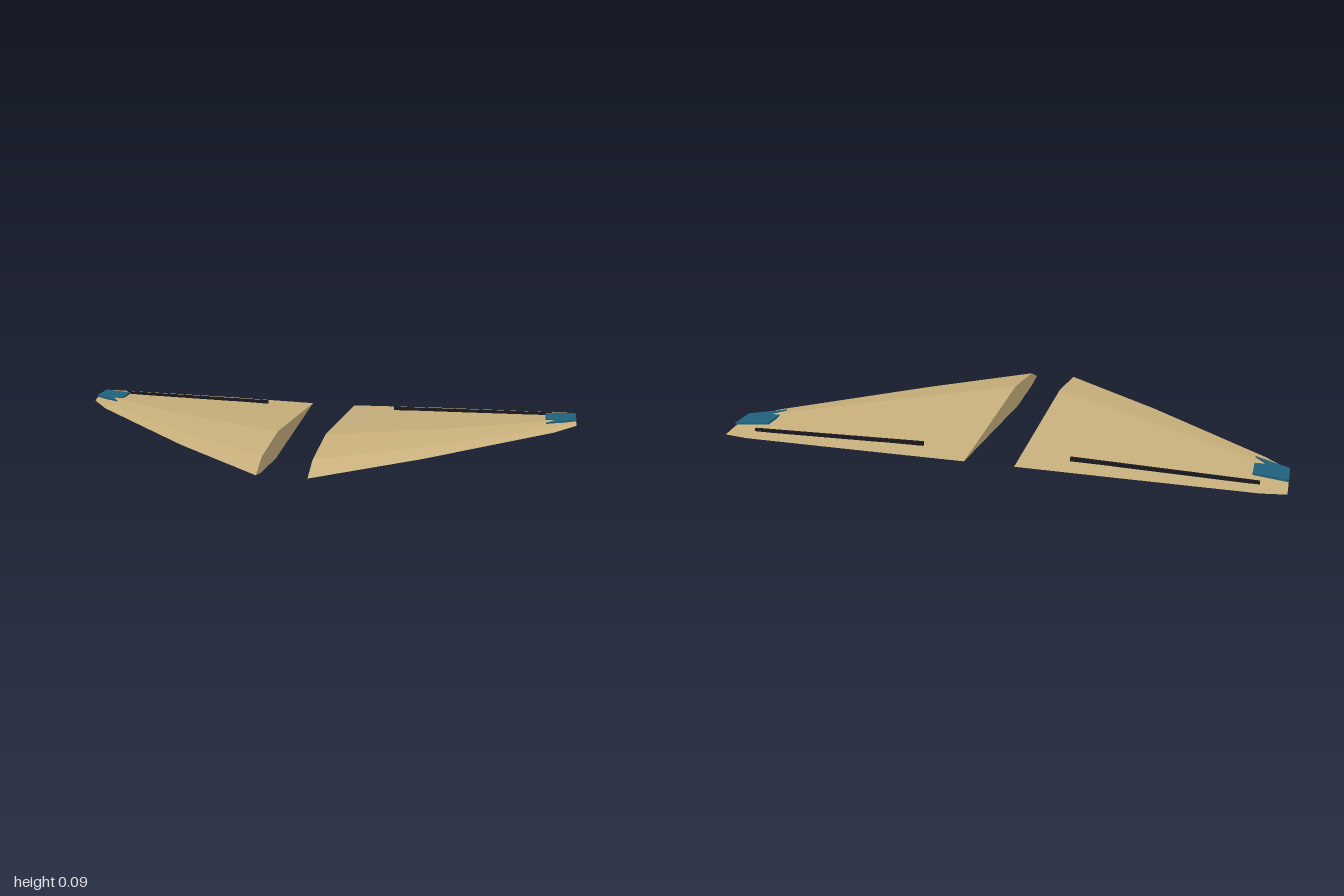
import * as THREE from 'three';

// Wing stations: x, leading z, trailing z, then heights of leading edge, crest, belly, trailing edge
const STATIONS = [
  [0.09, 0.5, -0.49, 0.03, 0.093, 0.0, 0.035],
  [0.45, 0.22, -0.503, 0.036, 0.077, 0.016, 0.04],
  [0.915, -0.2, -0.51, 0.043, 0.063, 0.037, 0.043],
  [1.0, -0.3, -0.503, 0.047, 0.059, 0.043, 0.046],
];

// Six-point airfoil section: nose, upper chamfer, crest, tail, belly, lower chamfer
function section([x, le, te, yLE, yCrest, yBelly, yTE]) {
  const z = (t) => le + (te - le) * t;
  const mix = (a, b, t) => a + (b - a) * t;
  return [
    [x, yLE, le],
    [x, mix(yLE, yCrest, 0.64), z(0.09)],
    [x, yCrest, z(0.335)],
    [x, yTE, te],
    [x, yBelly, z(0.3)],
    [x, mix(yLE, yBelly, 0.45), z(0.07)],
  ];
}

// Faceted loft through the sections with closed ends; side is +1 or -1
function wingGeometry(side) {
  const rings = STATIONS.map(section);
  const n = rings[0].length;
  const position = [];
  const tri = (a, b, c) => {
    for (const p of side > 0 ? [a, b, c] : [a, c, b]) position.push(p[0] * side, p[1], p[2]);
  };
  for (let i = 0; i < rings.length - 1; i++) {
    for (let j = 0; j < n; j++) {
      const k = (j + 1) % n;
      const a = rings[i][j], b = rings[i][k], c = rings[i + 1][k], d = rings[i + 1][j];
      tri(a, d, c);
      tri(a, c, b);
    }
  }
  const root = rings[0], tip = rings[rings.length - 1];
  for (let j = 1; j < n - 1; j++) {
    tri(root[0], root[j], root[j + 1]);
    tri(tip[0], tip[j + 1], tip[j]);
  }
  const geometry = new THREE.BufferGeometry();
  geometry.setAttribute('position', new THREE.Float32BufferAttribute(position, 3));
  geometry.computeVertexNormals();
  return geometry;
}

// Horizontal plate from an (x, z) outline, between two heights
function plateGeometry(outline, side, bottom, top) {
  const shape = new THREE.Shape(outline.map(([x, z]) => new THREE.Vector2(x * side, -z)));
  const geometry = new THREE.ExtrudeGeometry(shape, { depth: top - bottom, bevelEnabled: false });
  return geometry.rotateX(-Math.PI / 2).translate(0, bottom, 0);
}

export function createModel() {
  const material = (name, color) => {
    const m = new THREE.MeshStandardMaterial({ color, flatShading: true });
    m.name = name;
    return m;
  };
  const tan = material('tan', 0xc8b07c);
  const teal = material('teal', 0x1f627c);
  const black = material('black', 0x17171d);

  const tipPanel = [[0.882, -0.4], [1, -0.43], [1, -0.328], [0.882, -0.252], [0.925, -0.312], [0.882, -0.312]];
  const hingeLine = [[0.268, -0.415], [0.91, -0.451], [0.91, -0.44], [0.268, -0.403]];

  const model = new THREE.Group();
  model.name = 'wingPair';
  for (const [prefix, side] of [['left', 1], ['right', -1]]) {
    const wing = new THREE.Group();
    wing.name = prefix + 'Wing';
    const add = (name, geometry, mat) => {
      const mesh = new THREE.Mesh(geometry, mat);
      mesh.name = prefix + name;
      wing.add(mesh);
    };
    add('WingSurface', wingGeometry(side), tan);
    add('TipPanel', plateGeometry(tipPanel, side, 0.058, 0.066), teal);
    add('FlapHingeLine', plateGeometry(hingeLine, side, 0.043, 0.058), black);
    model.add(wing);
  }
  return model;
}
